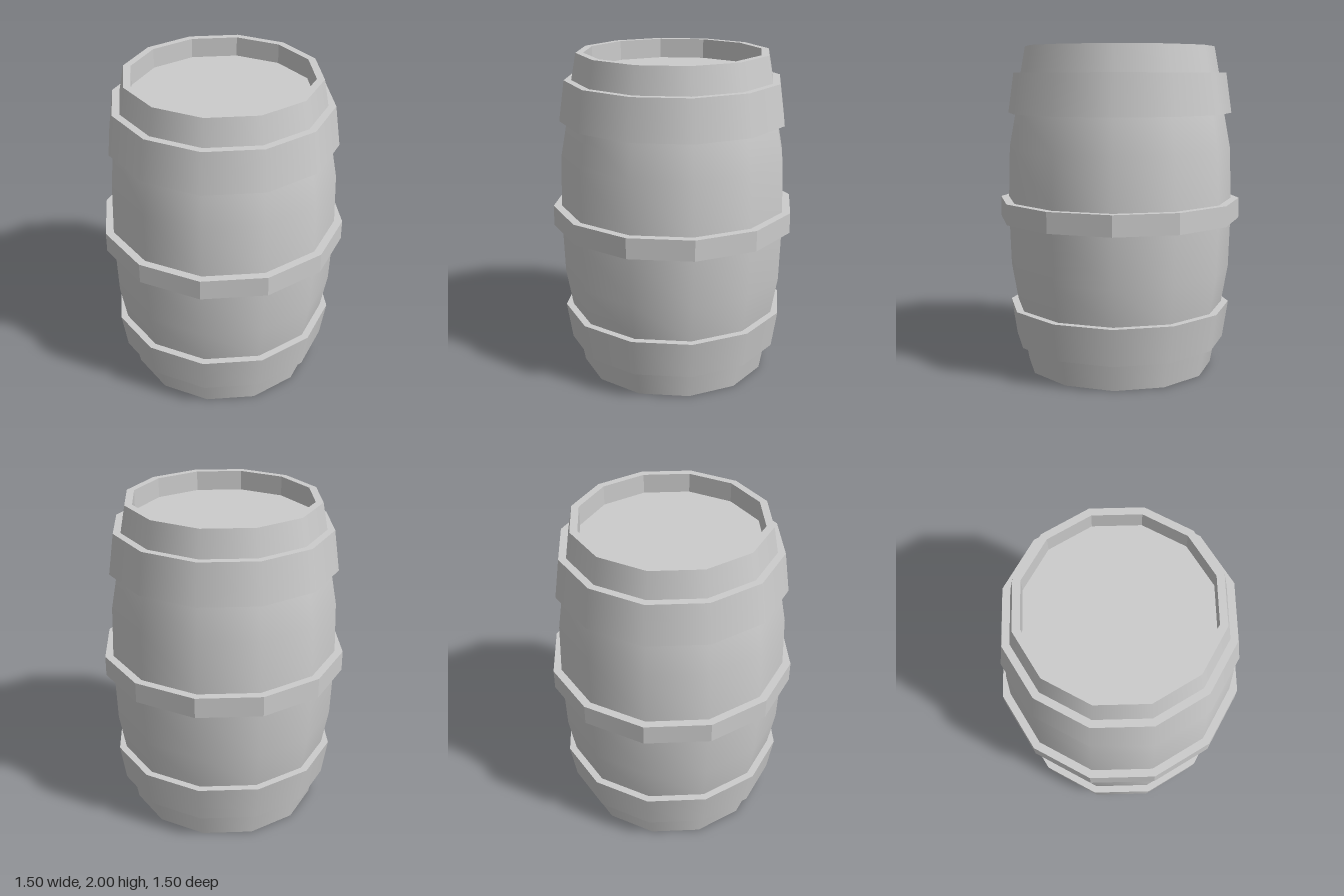
import * as THREE from 'three';

const SIDES = 12;
const smooth = new THREE.MeshStandardMaterial({ color: 0xcccccc, side: THREE.DoubleSide });
const faceted = new THREE.MeshStandardMaterial({ color: 0xcccccc, side: THREE.DoubleSide, flatShading: true });

// Turns a [radius, height] profile into a twelve-sided surface
function turned(name, profile, material) {
  const points = profile.map(([r, y]) => new THREE.Vector2(r, y));
  const mesh = new THREE.Mesh(new THREE.LatheGeometry(points, SIDES), material);
  mesh.name = name;
  return mesh;
}

// Raised band: underside ledge, outer wall, top ledge
function hoop(name, y0, y1, inner0, inner1, outer0, outer1, wallMaterial) {
  const group = new THREE.Group();
  group.name = name;
  group.add(
    turned(name + 'Underside', [[inner0, y0], [outer0, y0]], faceted),
    turned(name + 'Wall', [[outer0, y0], [outer1, y1]], wallMaterial),
    turned(name + 'Top', [[outer1, y1], [inner1, y1]], faceted)
  );
  return group;
}

export function createModel() {
  const barrel = new THREE.Group();
  barrel.name = 'barrel';

  // Staves between the hoops; the barrel is open underneath
  barrel.add(
    turned('bottomStaves', [[0.585, 0], [0.615, 0.17]], smooth),
    turned('lowerStaves', [[0.65, 0.4], [0.69, 0.63], [0.7, 0.94]], smooth),
    turned('upperStaves', [[0.7, 1.065], [0.69, 1.38], [0.65, 1.595]], smooth),
    turned('topStaves', [[0.615, 1.84], [0.585, 2]], smooth)
  );

  // Hoops
  barrel.add(
    hoop('lowerHoop', 0.17, 0.4, 0.615, 0.65, 0.66, 0.695, smooth),
    hoop('middleHoop', 0.94, 1.065, 0.7, 0.7, 0.75, 0.75, faceted),
    hoop('upperHoop', 1.595, 1.84, 0.65, 0.615, 0.695, 0.66, smooth)
  );

  // Rim and sunken lid
  barrel.add(
    turned('rim', [[0.585, 2], [0.54, 2], [0.54, 1.88]], faceted),
    turned('lid', [[0.54, 1.88], [0, 1.88]], faceted)
  );
  return barrel;
}
